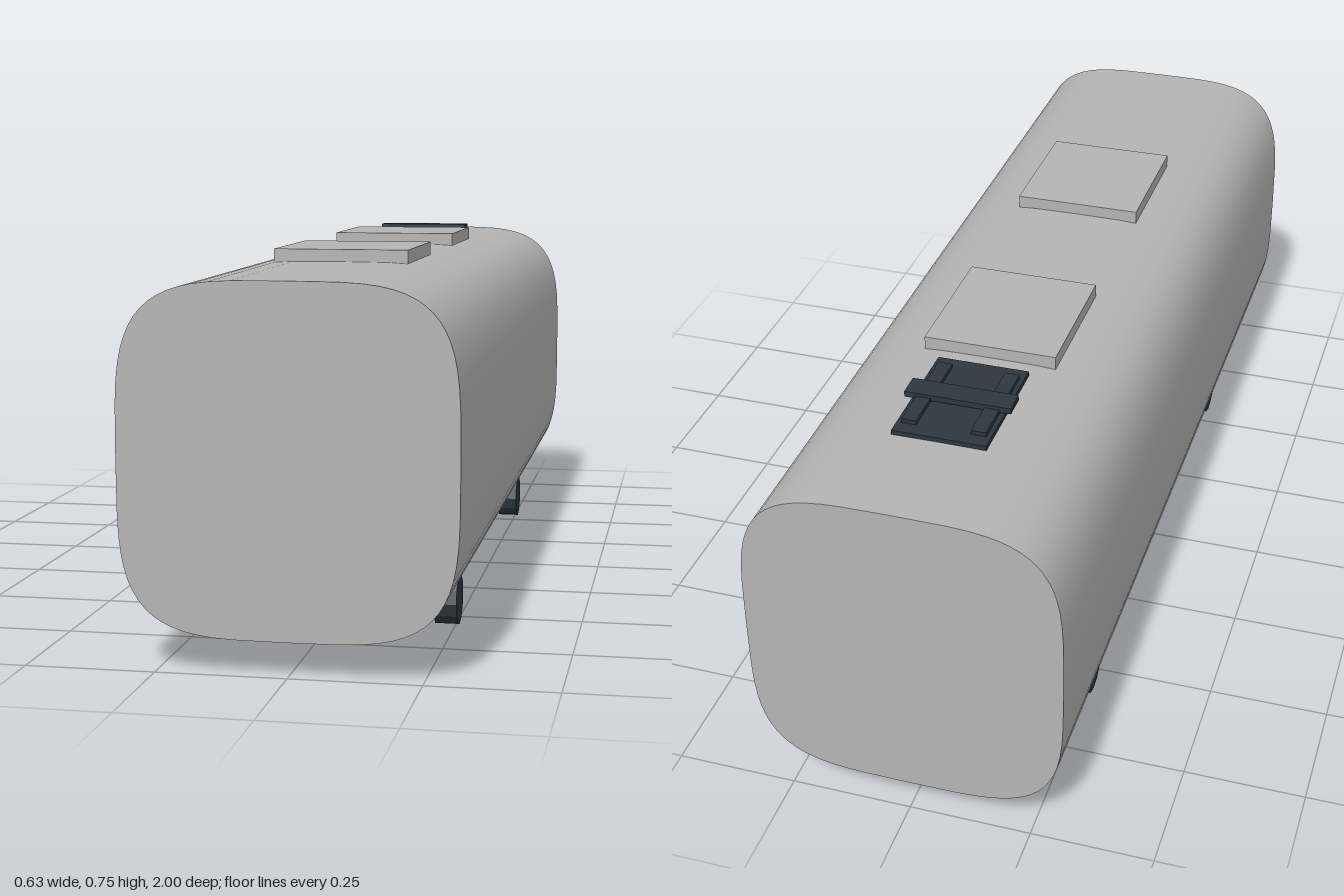
import * as THREE from 'three';

export function createModel() {
  const model = new THREE.Group();
  const grey = new THREE.MeshStandardMaterial({ name: 'bodyGrey', color: 0xb4b4b4 });
  const dark = new THREE.MeshStandardMaterial({ name: 'darkSlate', color: 0x2d373e });

  const add = (name, geometry, material, x, y, z) => {
    const mesh = new THREE.Mesh(geometry, material);
    mesh.name = name;
    mesh.position.set(x, y, z);
    model.add(mesh);
    return mesh;
  };
  // Box given by its centre in x and z, and its bottom and top heights
  const slab = (name, material, x, z, width, depth, bottom, top) =>
    add(name, new THREE.BoxGeometry(width, top - bottom, depth), material, x, (bottom + top) / 2, z);

  // Body: a cylinder whose round section is squared off into a superellipse
  const a = 0.317, b = 0.329;
  const shell = new THREE.CylinderGeometry(1, 1, 2, 64).rotateX(Math.PI / 2);
  const pos = shell.attributes.position, nor = shell.attributes.normal;
  const square = (v) => Math.sign(v) * Math.sqrt(Math.abs(v));
  const n = new THREE.Vector3();
  for (let i = 0; i < pos.count; i++) {
    const u = square(pos.getX(i)), v = square(pos.getY(i));
    pos.setXY(i, a * u, b * v);
    if (Math.abs(nor.getZ(i)) < 0.5) {
      n.set(u ** 3 / a, v ** 3 / b, 0).normalize();
      nor.setXYZ(i, n.x, n.y, n.z);
    }
  }
  add('body', shell, grey, 0, 0.396, 0);

  // Roof boxes
  for (const z of [0.34, -0.3]) slab('roofBox', grey, 0, z, 0.277, 0.3, 0.71, 0.75);

  // Roof equipment: base plate, two rails and a raised cross bar
  slab('equipmentBase', dark, 0, -0.625, 0.19, 0.27, 0.722, 0.734);
  for (const side of [-1, 1]) slab('equipmentRail', dark, side * 0.07, -0.625, 0.03, 0.21, 0.73, 0.743);
  slab('equipmentCrossBar', dark, 0, -0.625, 0.217, 0.05, 0.738, 0.75);

  // Wheels
  const wheel = new THREE.CylinderGeometry(0.052, 0.052, 0.046, 12).toNonIndexed().rotateZ(Math.PI / 2);
  wheel.computeVertexNormals();
  for (const x of [-0.234, 0.234])
    for (const z of [-0.56, 0.56]) add('wheel', wheel, dark, x, 0.052, z);

  return model;
}
